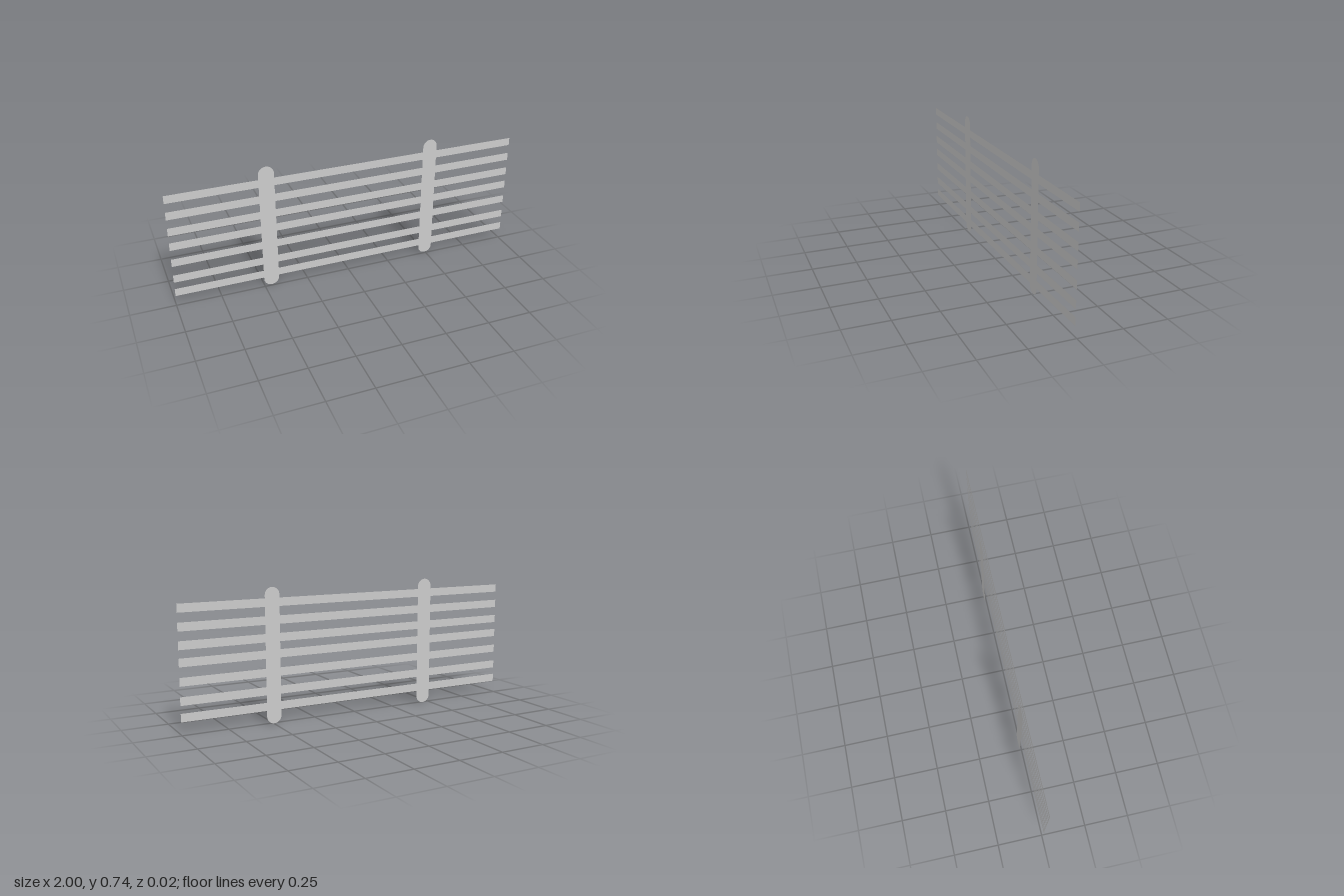
import * as THREE from 'three';

const material = new THREE.MeshStandardMaterial({ color: 0xcccccc, side: THREE.DoubleSide });

const SLAT_HEIGHT = 0.045;
const POST_HEIGHT = 0.735;
const GAP = 0.01; // half the distance between slat plane and post plane

// Flat upright board with semicircular ends, standing on y = 0
function postGeometry(width) {
  const r = width / 2;
  const shape = new THREE.Shape();
  shape.absarc(0, POST_HEIGHT - r, r, 0, Math.PI, false);
  shape.absarc(0, r, r, Math.PI, Math.PI * 2, false);
  shape.closePath();
  return new THREE.ShapeGeometry(shape, 12);
}

export function createModel() {
  const group = new THREE.Group();
  group.name = 'slattedFence';

  const add = (name, geometry, x, y, z) => {
    const mesh = new THREE.Mesh(geometry, material);
    mesh.name = name;
    mesh.position.set(x, y, z);
    group.add(mesh);
  };

  // Horizontal slats, slightly uneven in spacing
  const slat = new THREE.PlaneGeometry(2, SLAT_HEIGHT);
  [0.09, 0.176, 0.276, 0.375, 0.463, 0.557, 0.652].forEach((y, i) => {
    add(`slat${i + 1}`, slat, 0, y, GAP);
  });

  // Two posts behind the slats
  add('rightPost', postGeometry(0.087), -0.458, 0, -GAP);
  add('leftPost', postGeometry(0.083), 0.496, 0, -GAP);

  return group;
}
